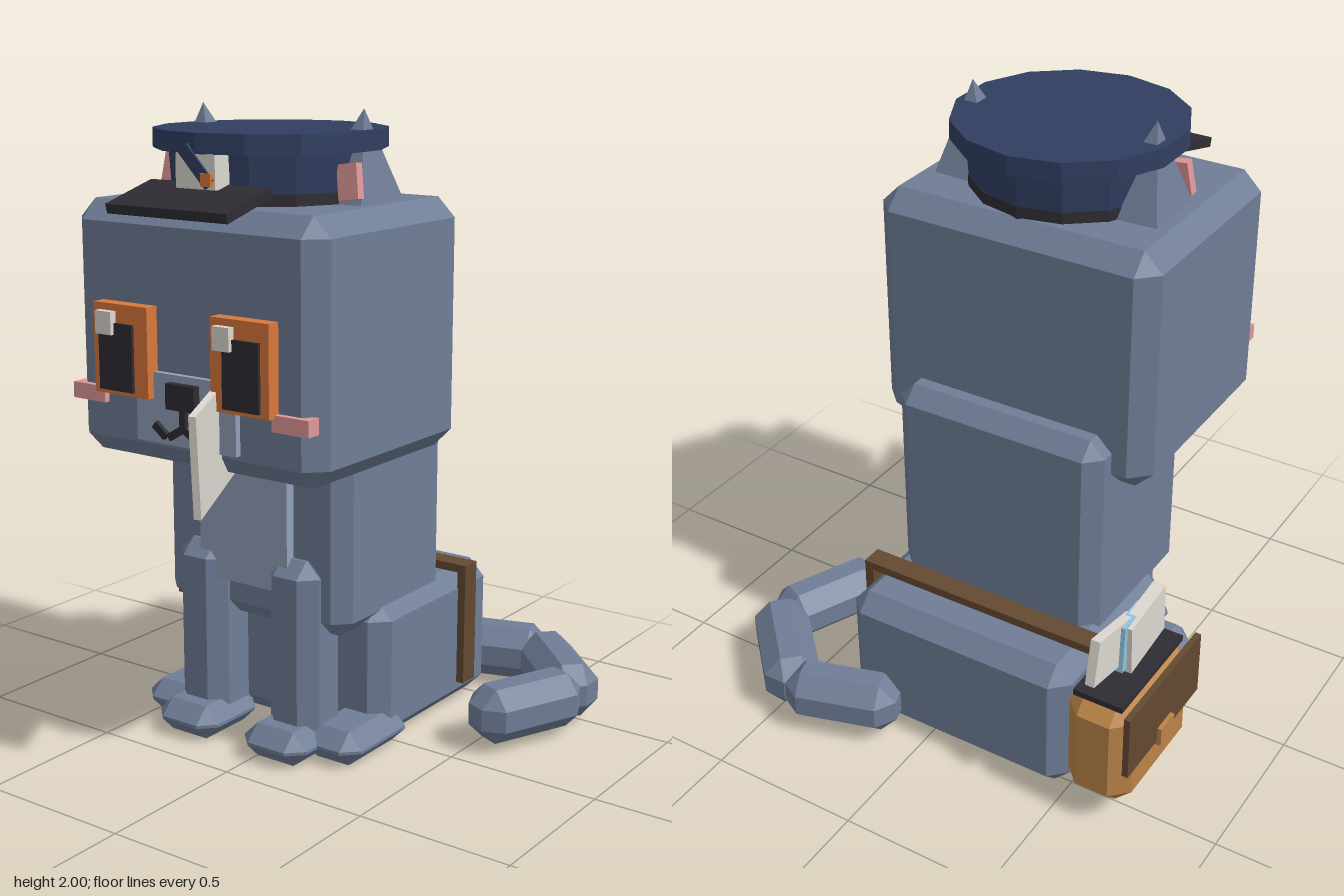
import * as THREE from 'three';
import { ConvexGeometry } from 'three/addons/geometries/ConvexGeometry.js';

const CX = -0.105; // the body's own mirror plane

const mat = (name, color) => {
  const m = new THREE.MeshStandardMaterial({ color });
  m.name = name;
  return m;
};

// Box with bevelled edges: the hull of its 24 inset corners
function bevelBox(w, h, d, c) {
  const pts = [];
  for (const x of [-1, 1]) for (const y of [-1, 1]) for (const z of [-1, 1]) {
    const a = w / 2, b = h / 2, e = d / 2;
    pts.push(
      new THREE.Vector3(x * a, y * (b - c), z * (e - c)),
      new THREE.Vector3(x * (a - c), y * b, z * (e - c)),
      new THREE.Vector3(x * (a - c), y * (b - c), z * e));
  }
  return new ConvexGeometry(pts);
}

export function createModel() {
  const model = new THREE.Group();
  model.name = 'postCat';
  const fur = mat('blueGreyFur', 0x6f7d96);
  const pale = mat('paleFur', 0x93a1b9);
  const navy = mat('navyCloth', 0x303e60);
  const dark = mat('charcoal', 0x2e2c33);
  const orange = mat('orange', 0xd8783a);
  const pink = mat('pink', 0xde9898);
  const tan = mat('tanLeather', 0xbb8348);
  const brown = mat('brownLeather', 0x634931);
  const paper = mat('paper', 0xdcd8d0);
  const blue = mat('lightBlue', 0x8fc3dc);

  function add(name, geo, m, pos = [0, 0, 0], rot = [0, 0, 0], parent = model) {
    const mesh = new THREE.Mesh(geo, m);
    mesh.name = name;
    mesh.position.set(...pos);
    mesh.rotation.set(...rot);
    parent.add(mesh);
    return mesh;
  }
  // Box given by its limits on each axis; c is the bevel
  function span(name, m, [x0, x1], [y0, y1], [z0, z1], c = 0) {
    const s = [x1 - x0, y1 - y0, z1 - z0];
    const geo = c ? bevelBox(...s, c) : new THREE.BoxGeometry(...s);
    return add(name, geo, m, [(x0 + x1) / 2, (y0 + y1) / 2, (z0 + z1) / 2]);
  }

  // Body
  span('head', fur, [-0.575, 0.365], [0.95, 1.73], [-0.24, 0.52], 0.06);
  span('torso', fur, [-0.465, 0.255], [0.4, 1.13], [-0.33, 0.24], 0.05);
  span('hips', fur, [-0.505, 0.295], [0.01, 0.475], [-0.575, 0.09], 0.055);
  span('chestPatch', pale, [-0.28, 0.065], [0.53, 0.97], [0.2, 0.275]);
  span('muzzle', pale, [-0.295, 0.085], [1.025, 1.24], [0.5, 0.54]);

  // Legs, paws, cheeks and ears, mirrored
  for (const s of [-1, 1]) {
    const x = (off) => CX + s * off;
    add('frontLeg', bevelBox(0.19, 0.62, 0.2, 0.05), fur, [x(0.18), 0.33, 0.2]);
    add('frontPaw', bevelBox(0.24, 0.11, 0.29, 0.05), fur, [x(0.175), 0.06, 0.25]);
    add('backPaw', bevelBox(0.22, 0.11, 0.34, 0.05), fur, [x(0.32), 0.06, 0.12]);
    add('cheek', new THREE.BoxGeometry(0.13, 0.05, 0.05), pink, [x(0.385), 1.145, 0.515]);

    const ear = new THREE.ConeGeometry(Math.SQRT1_2, 1, 4, 1).toNonIndexed();
    ear.rotateY(Math.PI / 4);
    ear.scale(0.23, 0.32, 0.27);
    ear.computeVertexNormals();
    add('ear', ear, fur, [x(0.291), 1.842, 0.07], [0, 0, -s * 0.1]);
    add('innerEar', new THREE.BoxGeometry(0.07, 0.105, 0.03), pink, [x(0.335), 1.797, 0.18], [-0.1, 0, s * 0.15]);
  }

  // Eyes: both glints sit on the same side
  for (const [ex, px, gx] of [[-0.332, -0.345, -0.38], [0.12, 0.13, 0.07]]) {
    add('iris', new THREE.BoxGeometry(0.212, 0.275, 0.06), orange, [ex, 1.297, 0.535]);
    add('pupil', new THREE.BoxGeometry(0.132, 0.205, 0.03), dark, [px, 1.275, 0.56]);
    add('eyeGlint', new THREE.BoxGeometry(0.062, 0.07, 0.03), paper, [gx, 1.378, 0.573]);
  }

  // Nose and mouth
  span('nose', dark, [-0.16, -0.05], [1.14, 1.218], [0.53, 0.565]);
  span('mouthStem', dark, [-0.116, -0.094], [1.075, 1.14], [0.53, 0.555]);
  for (const s of [-1, 1]) {
    add('mouthInner', new THREE.BoxGeometry(0.065, 0.022, 0.02), dark, [CX + s * 0.028, 1.068, 0.545], [0, 0, -s * 0.55]);
    add('mouthOuter', new THREE.BoxGeometry(0.055, 0.024, 0.02), dark, [CX + s * 0.09, 1.068, 0.545], [0, 0, s * 0.65]);
  }

  // Cap
  const disc = (name, m, r0, r1, y0, y1) => {
    const g = new THREE.CylinderGeometry(r1, r0, y1 - y0, 14).toNonIndexed();
    g.computeVertexNormals();
    add(name, g, m, [CX, (y0 + y1) / 2, 0.12]);
  };
  disc('capTop', navy, 0.357, 0.357, 1.88, 1.94);
  disc('capCrown', navy, 0.3, 0.31, 1.73, 1.88);
  disc('capBand', dark, 0.304, 0.304, 1.72, 1.765);
  add('capVisor', new THREE.BoxGeometry(0.45, 0.03, 0.21), dark, [CX, 1.75, 0.51], [0.27, 0, 0]);
  span('capBadge', paper, [-0.18, -0.033], [1.78, 1.88], [0.41, 0.475]);
  add('badgeBar', new THREE.BoxGeometry(0.14, 0.04, 0.012), navy, [-0.1, 1.845, 0.476], [0, 0, -0.8]);
  span('badgeSeal', orange, [-0.078, -0.04], [1.79, 1.828], [0.47, 0.488]);

  // Envelope held in the mouth
  const letter = new THREE.Group();
  letter.name = 'heldLetter';
  letter.position.set(-0.01, 1.07, 0.49);
  letter.rotation.set(0, -1.16, -0.12);
  model.add(letter);
  add('envelope', new THREE.BoxGeometry(0.55, 0.31, 0.022), paper, [0, 0, 0], [0, 0, 0], letter);
  for (const s of [-1, 1])
    add('flapFold', new THREE.BoxGeometry(0.25, 0.014, 0.009), navy, [s * 0.13, 0.075, 0.013], [0, 0, s * 0.55], letter);
  add('letterSeal', new THREE.CylinderGeometry(0.05, 0.05, 0.018, 8), orange, [0.035, -0.02, 0.017], [Math.PI / 2, 0, 0], letter);
  add('stamp', new THREE.BoxGeometry(0.1, 0.1, 0.009), blue, [0.15, -0.085, 0.013], [0, 0, 0], letter);
  add('stampPicture', new THREE.BoxGeometry(0.055, 0.06, 0.009), paper, [0.15, -0.085, 0.016], [0, 0, 0], letter);

  // Satchel and strap
  span('satchel', tan, [-0.74, -0.52], [0.08, 0.46], [-0.615, -0.17], 0.055);
  span('satchelOpening', dark, [-0.71, -0.545], [0.452, 0.472], [-0.585, -0.195]);
  span('satchelFlap', brown, [-0.755, -0.735], [0.25, 0.47], [-0.62, -0.16]);
  span('satchelBuckle', tan, [-0.769, -0.75], [0.235, 0.3], [-0.435, -0.35]);
  span('strapTop', brown, [-0.52, 0.322], [0.475, 0.502], [-0.427, -0.357]);
  span('strapSide', brown, [0.292, 0.322], [0.09, 0.502], [-0.427, -0.357]);

  // Mail in the satchel
  add('backLetter', new THREE.BoxGeometry(0.03, 0.15, 0.22), paper, [-0.62, 0.597, -0.5], [0.2, 0, 0]);
  add('blueLetter', new THREE.BoxGeometry(0.034, 0.16, 0.15), blue, [-0.629, 0.573, -0.395], [0.06, 0.04, 0]);
  add('frontLetter', new THREE.BoxGeometry(0.042, 0.17, 0.23), paper, [-0.638, 0.57, -0.333], [-0.04, 0.04, 0]);
  add('mailSeal', new THREE.BoxGeometry(0.02, 0.04, 0.04), orange, [-0.65, 0.585, -0.425]);

  // Tail curling round the left side
  const path = [[[0.09, -0.59], [0.45, -0.7]], [[0.42, -0.71], [0.715, -0.415]], [[0.69, -0.44], [0.535, -0.08]]];
  for (const [[x0, z0], [x1, z1]] of path) {
    const dx = x1 - x0, dz = z1 - z0;
    add('tailSegment', bevelBox(0.18, 0.18, Math.hypot(dx, dz), 0.055), fur,
      [(x0 + x1) / 2, 0.12, (z0 + z1) / 2], [0, Math.atan2(dx, dz), 0]);
  }
  return model;
}
